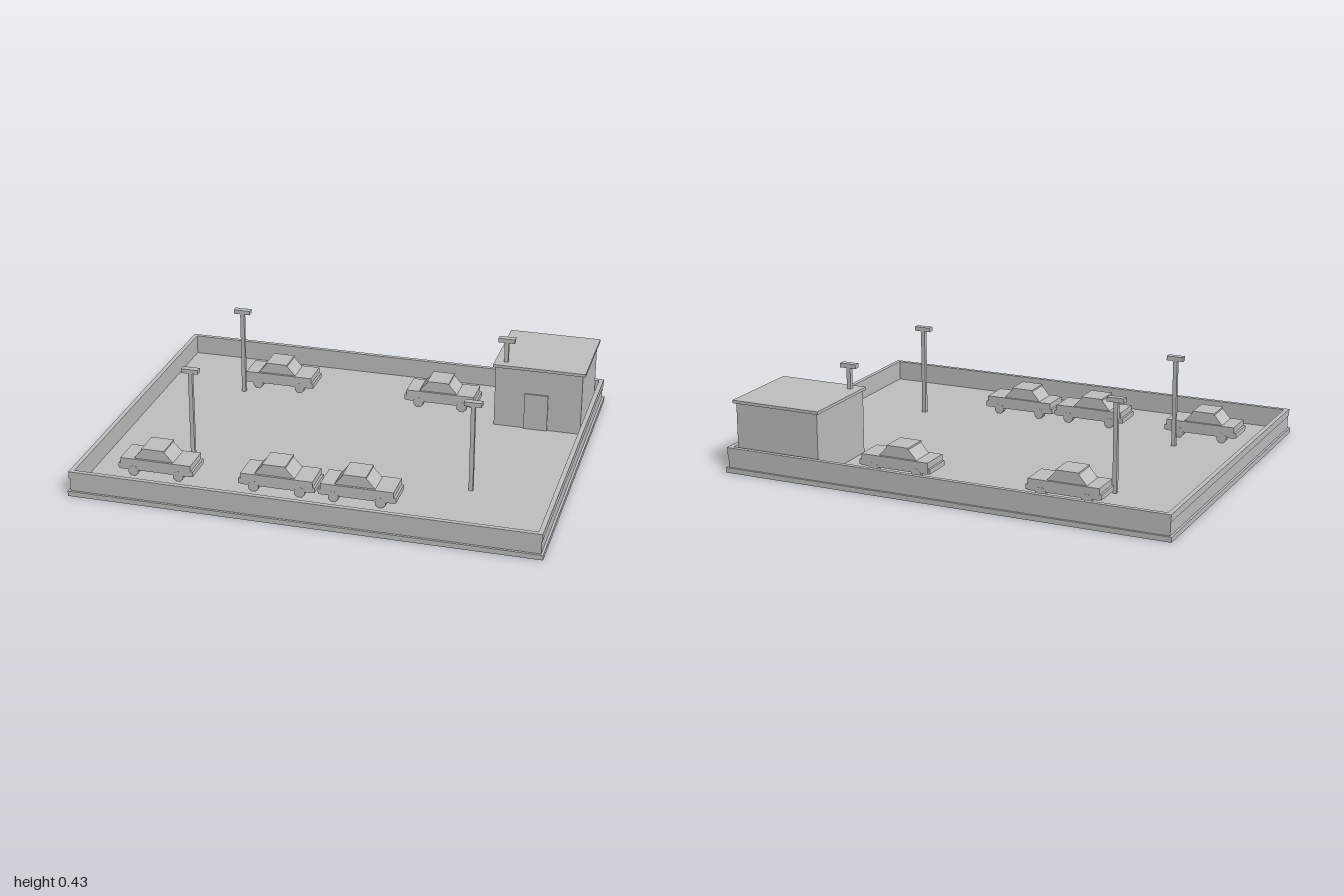
import * as THREE from 'three';

const concrete = new THREE.MeshStandardMaterial({ color: 0xc0c0c0 });
concrete.name = 'plainGrey';

const FLOOR = 0.022;

// Box given by its extents on each axis
function box(name, x0, x1, y0, y1, z0, z1) {
  const g = new THREE.BoxGeometry(x1 - x0, y1 - y0, z1 - z0);
  g.translate((x0 + x1) / 2, (y0 + y1) / 2, (z0 + z1) / 2);
  const m = new THREE.Mesh(g, concrete);
  m.name = name;
  return m;
}

// Rectangular frame standing upright, open in the middle
function frame(name, hx, hz, t, y0, y1) {
  const s = new THREE.Shape();
  s.moveTo(-hx, -hz).lineTo(hx, -hz).lineTo(hx, hz).lineTo(-hx, hz).closePath();
  const h = new THREE.Path();
  const ix = hx - t, iz = hz - t;
  h.moveTo(-ix, -iz).lineTo(-ix, iz).lineTo(ix, iz).lineTo(ix, -iz).closePath();
  s.holes.push(h);
  const g = new THREE.ExtrudeGeometry(s, { depth: y1 - y0, bevelEnabled: false });
  g.rotateX(-Math.PI / 2).translate(0, y0, 0);
  const m = new THREE.Mesh(g, concrete);
  m.name = name;
  return m;
}

function group(name, ...parts) {
  const g = new THREE.Group();
  g.name = name;
  g.add(...parts);
  return g;
}

function makeCar(x, z) {
  const car = group('car',
    box('body', -0.156, 0.156, 0.048, 0.098, -0.067, 0.067),
    box('frontBumper', -0.166, -0.15, 0.05, 0.072, -0.066, 0.066),
    box('rearBumper', 0.15, 0.166, 0.05, 0.072, -0.066, 0.066));

  // Cabin with sloping windscreens
  const s = new THREE.Shape();
  s.moveTo(-0.1, 0.096).lineTo(0.078, 0.096).lineTo(0.037, 0.142).lineTo(-0.061, 0.142).closePath();
  const g = new THREE.ExtrudeGeometry(s, { depth: 0.114, bevelEnabled: false });
  g.translate(0, 0, -0.057);
  const cabin = new THREE.Mesh(g, concrete);
  cabin.name = 'cabin';
  car.add(cabin, box('carRoof', -0.062, 0.038, 0.141, 0.148, -0.06, 0.06));

  // Wheels
  for (const wx of [-0.1, 0.1]) for (const wz of [-0.056, 0.056]) {
    const w = new THREE.CylinderGeometry(0.024, 0.024, 0.024, 8);
    w.rotateY(Math.PI / 8).rotateX(Math.PI / 2).translate(wx, FLOOR + 0.022, wz);
    const wheel = new THREE.Mesh(w, concrete);
    wheel.name = 'wheel';
    car.add(wheel);
  }
  car.position.set(x, 0, z);
  return car;
}

function makeLamp(x, z) {
  const lamp = group('lampPost',
    box('post', -0.009, 0.009, FLOOR, 0.41, -0.009, 0.009),
    box('lampHead', -0.037, 0.037, 0.408, 0.427, -0.014, 0.014));
  lamp.position.set(x, 0, z);
  return lamp;
}

export function createModel() {
  const model = group('parkingLot',
    box('groundSlab', -1, 1, 0, FLOOR, -0.77, 0.77),
    frame('perimeterWall', 0.99, 0.76, 0.016, FLOOR, 0.08),
    frame('wallCap', 0.994, 0.764, 0.02, 0.08, 0.11));

  // Attendant building
  model.add(group('building',
    box('walls', 0.57, 0.958, FLOOR, 0.302, -0.732, -0.343),
    box('roof', 0.56, 0.97, 0.302, 0.315, -0.743, -0.335),
    box('door', 0.705, 0.81, FLOOR, 0.19, -0.343, -0.336)));

  // Lamps at four points of the lot
  for (const x of [-0.614, 0.61]) for (const z of [0.304, -0.384]) model.add(makeLamp(x, z));

  // Parked cars
  for (const x of [-0.69, -0.158, 0.187]) model.add(makeCar(x, 0.493));
  for (const x of [-0.463, 0.302]) model.add(makeCar(x, -0.5));

  return model;
}
